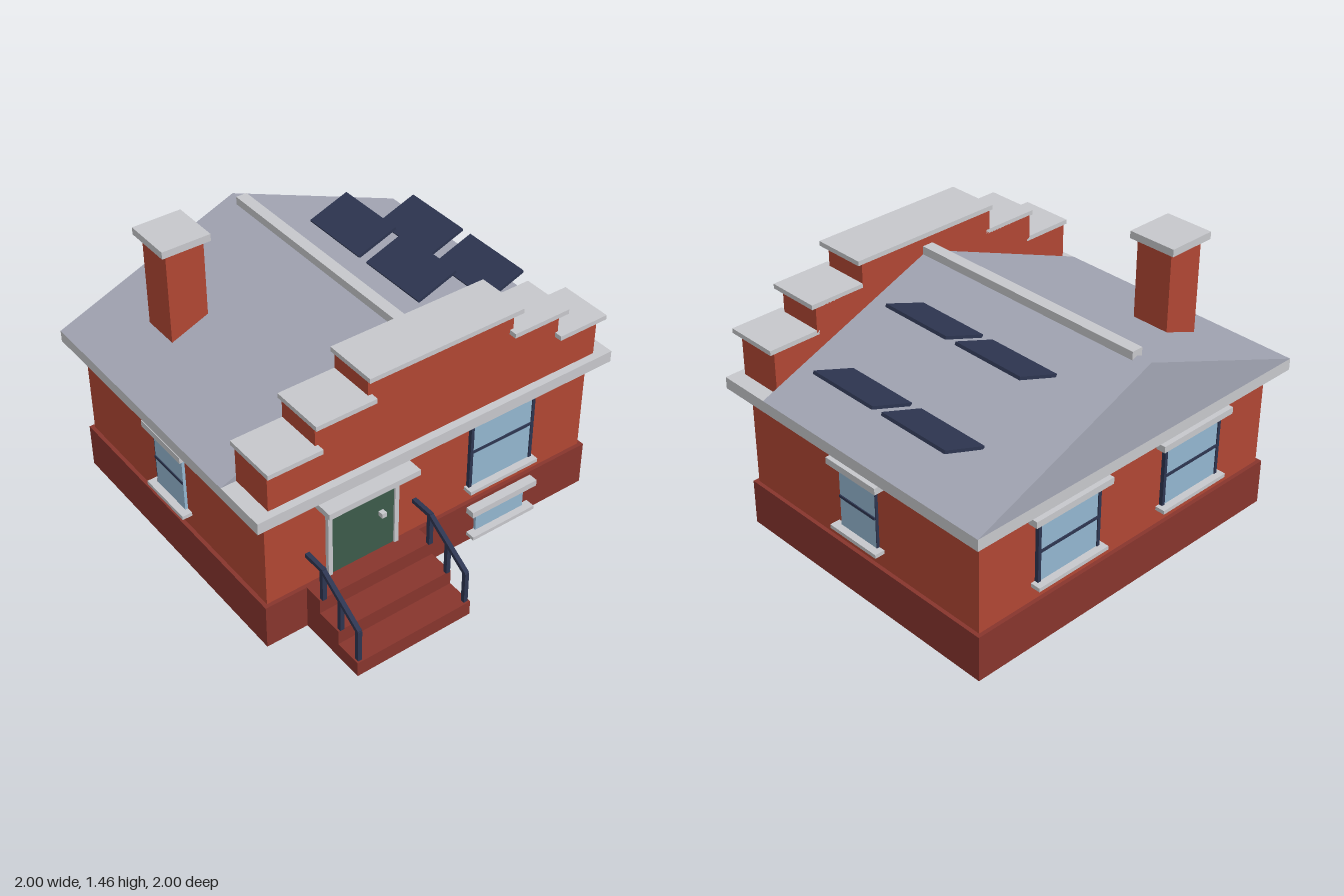
import * as THREE from 'three';

const mat = (name, color) => {
  const m = new THREE.MeshStandardMaterial({ color });
  m.name = name;
  return m;
};

export function createModel() {
  const brick = mat('brick red', 0xb04633);
  const darkBrick = mat('dark brick', 0x87352d);
  const stone = mat('light stone', 0xc6c7cb);
  const slate = mat('roof slate', 0xa2a5b3);
  const green = mat('door green', 0x3c5b4a);
  const glass = mat('window glass', 0x93b6cf);
  const navy = mat('dark navy', 0x2d3550);

  const house = new THREE.Group();
  house.name = 'house';

  // Box given by its two extreme corners
  const box = (name, m, x0, x1, y0, y1, z0, z1, parent = house) => {
    const mesh = new THREE.Mesh(new THREE.BoxGeometry(x1 - x0, y1 - y0, z1 - z0), m);
    mesh.position.set((x0 + x1) / 2, (y0 + y1) / 2, (z0 + z1) / 2);
    mesh.name = name;
    parent.add(mesh);
    return mesh;
  };
  const group = (name) => {
    const g = new THREE.Group();
    g.name = name;
    house.add(g);
    return g;
  };

  // Walls and eaves
  box('foundation', darkBrick, -0.94, 0.94, 0, 0.24, -0.94, 0.62);
  box('walls', brick, -0.92, 0.92, 0.24, 0.76, -0.92, 0.6);
  box('eaves', stone, -1, 1, 0.76, 0.82, -1, 0.68);

  // Gable roof with ridge cap
  const gable = new THREE.Shape([[-1, 0.82], [1, 0.82], [0, 1.22]].map((p) => new THREE.Vector2(...p)));
  const roof = new THREE.Mesh(new THREE.ExtrudeGeometry(gable, { depth: 1.4, bevelEnabled: false }), slate);
  roof.position.z = -1;
  roof.name = 'roof';
  house.add(roof);
  box('ridgeCap', stone, -0.03, 0.03, 1.19, 1.25, -0.92, 0.4);

  // Stepped front parapet with coping stones
  const outline = [[-0.92, 0.82], [0.92, 0.82], [0.92, 1.03], [0.675, 1.03], [0.675, 1.17], [0.4, 1.17], [0.4, 1.29],
    [-0.4, 1.29], [-0.4, 1.17], [-0.675, 1.17], [-0.675, 1.03], [-0.92, 1.03]];
  const parapet = new THREE.Mesh(new THREE.ExtrudeGeometry(
    new THREE.Shape(outline.map((p) => new THREE.Vector2(...p))), { depth: 0.24, bevelEnabled: false }), brick);
  parapet.position.z = 0.4;
  parapet.name = 'parapet';
  house.add(parapet);
  box('topCoping', stone, -0.42, 0.42, 1.288, 1.312, 0.4, 0.68);
  for (const s of [-1, 1]) {
    for (const [a, b, y] of [[0.38, 0.695, 1.167], [0.66, 0.94, 1.03]]) {
      box('stepCoping', stone, Math.min(s * a, s * b), Math.max(s * a, s * b), y, y + 0.024, 0.4, 0.68);
    }
  }

  // Chimney
  box('chimney', brick, -0.7, -0.5, 0.9, 1.43, -0.66, -0.46);
  box('chimneyCap', stone, -0.73, -0.475, 1.425, 1.462, -0.69, -0.435);

  // Solar panels, tipped up away from the ridge
  for (const [x, y] of [[0.3575, 1.163], [0.78, 0.993]]) {
    for (const z of [-0.4925, -0.0375]) {
      const p = box('solarPanel', navy, -0.117, 0.117, -0.008, 0.008, -0.1975, 0.1975);
      p.position.set(x, y, z);
      p.rotation.z = 0.35;
    }
  }

  // Window facing local +z, its wall at z = 0
  const makeWindow = (name, o) => {
    const g = group(name);
    const h = o.w / 2;
    box('glass', glass, -h, h, o.y0, o.y1, -0.01, 0.015, g);
    if (o.jamb) {
      for (const s of [-1, 1]) {
        const c = s * (h + o.jamb / 2);
        box('jamb', navy, c - o.jamb / 2, c + o.jamb / 2, o.y0, o.y1, -0.01, 0.02, g);
      }
    }
    if (o.bar) box('glazingBar', navy, -h, h, o.bar - 0.007, o.bar + 0.007, 0, 0.021, g);
    box('lintel', stone, -o.lintel / 2, o.lintel / 2, o.y1, o.y1 + o.lintelH, -0.01, 0.05, g);
    box('sill', stone, -o.sill / 2, o.sill / 2, o.y0 - 0.02, o.y0, -0.01, 0.052, g);
    return g;
  };

  const front = makeWindow('frontWindow',
    { w: 0.35, y0: 0.34, y1: 0.748, jamb: 0.017, bar: 0.548, lintel: 0.43, lintelH: 0.03, sill: 0.41 });
  front.position.set(0.4, 0, 0.6);

  const cellar = makeWindow('cellarWindow',
    { w: 0.295, y0: 0.06, y1: 0.186, lintel: 0.395, lintelH: 0.034, sill: 0.38 });
  cellar.position.set(0.398, 0, 0.62);

  for (const s of [-1, 1]) {
    const back = makeWindow('backWindow',
      { w: 0.35, y0: 0.34, y1: 0.666, jamb: 0.017, bar: 0.5, lintel: 0.47, lintelH: 0.034, sill: 0.43 });
    back.position.set(s * 0.4, 0, -0.92);
    back.rotation.y = Math.PI;

    const side = makeWindow('sideWindow',
      { w: 0.24, y0: 0.34, y1: 0.666, bar: 0.5, lintel: 0.33, lintelH: 0.034, sill: 0.31 });
    box('jamb', navy, s * 0.122 - 0.002, s * 0.122 + 0.002, 0.34, 0.666, -0.01, 0.015, side);
    side.position.set(s * 0.92, 0, -0.16);
    side.rotation.y = s * Math.PI / 2;
  }

  // Front door with frame, canopy and knob
  const door = group('frontDoor');
  box('doorLeaf', green, -0.58, -0.225, 0.24, 0.65, 0.59, 0.612, door);
  box('doorJamb', stone, -0.6, -0.577, 0.24, 0.67, 0.59, 0.622, door);
  box('doorJamb', stone, -0.23, -0.207, 0.24, 0.67, 0.59, 0.622, door);
  box('doorHead', stone, -0.577, -0.23, 0.645, 0.67, 0.59, 0.622, door);
  box('doorCanopy', stone, -0.652, -0.155, 0.668, 0.7, 0.59, 0.705, door);
  box('doorKnob', stone, -0.316, -0.29, 0.447, 0.472, 0.61, 0.64, door);

  // Entrance steps
  const steps = group('steps');
  for (const [y0, y1, z] of [[0, 0.08, 1], [0.08, 0.16, 0.857], [0.16, 0.24, 0.72]]) {
    box('step', darkBrick, -0.72, -0.085, y0, y1, 0.6, z, steps);
  }

  // Handrails on both sides of the steps
  for (const x of [-0.7, -0.103]) {
    const rail = group('handrail');
    for (const [z, y0, y1] of [[0.98, 0.08, 0.255], [0.85, 0.16, 0.335], [0.72, 0.24, 0.41]]) {
      box('railPost', navy, x - 0.011, x + 0.011, y0, y1, z - 0.011, z + 0.011, rail);
    }
    const slope = box('slopedRail', navy, -0.011, 0.011, -0.011, 0.011, -0.157, 0.157, rail);
    slope.position.set(x, 0.335, 0.85);
    slope.rotation.x = Math.atan2(0.16, 0.26);
    box('levelRail', navy, x - 0.011, x + 0.011, 0.405, 0.427, 0.6, 0.73, rail);
  }

  return house;
}
